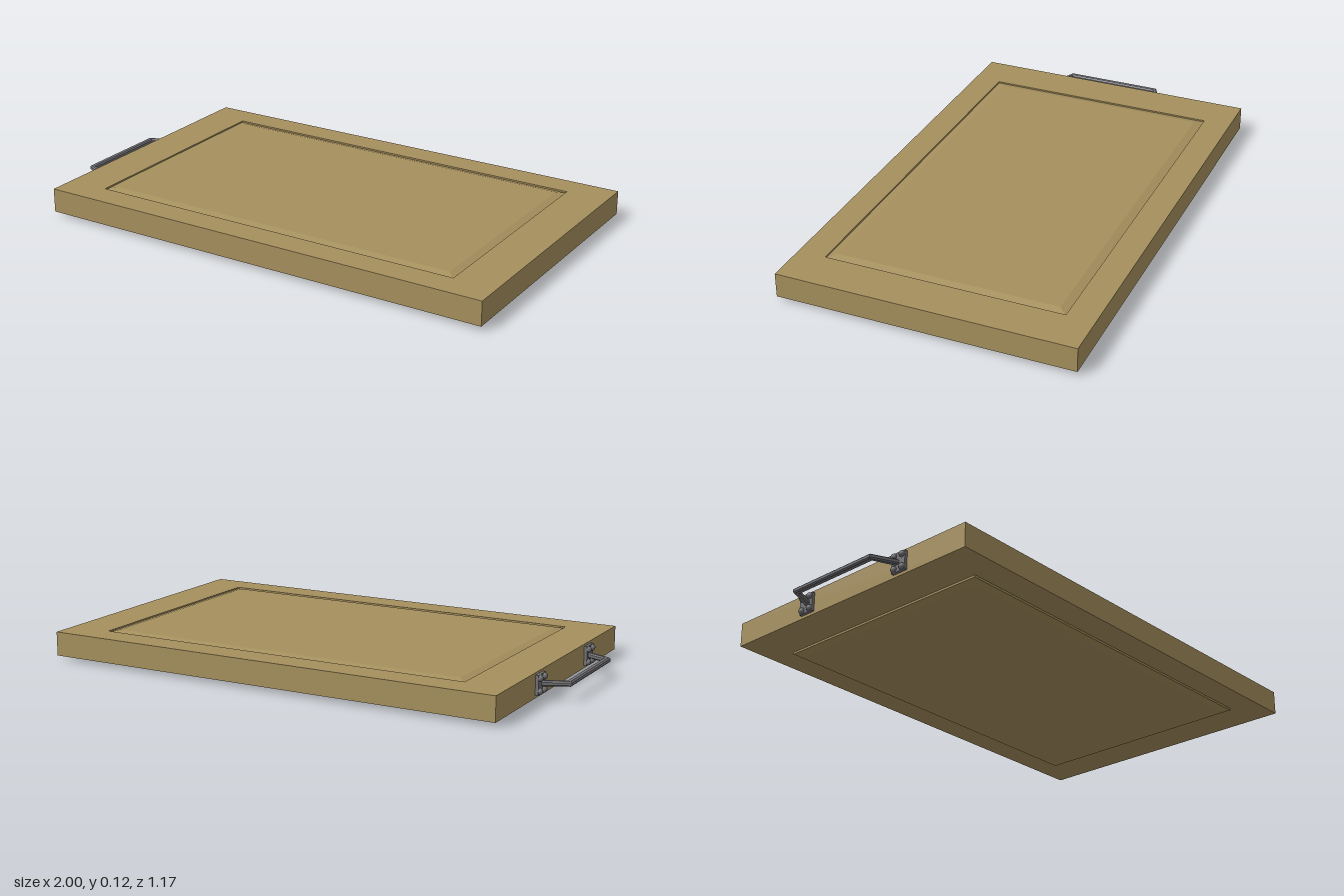
import * as THREE from 'three';

const wood = new THREE.MeshStandardMaterial({ color: 0xa58f5d });
wood.name = 'tan wood';
const metal = new THREE.MeshStandardMaterial({ color: 0x707074 });
metal.name = 'grey metal';

const CENTER_X = 0.055; // middle of the board
const MID_Y = 0.066; // middle of the board's thickness
const HANDLE_Z = 0.035;

function polygon(points, Type = THREE.Shape) {
  return new Type(points.map(([x, y]) => new THREE.Vector2(x, y)));
}

function rect(halfX, halfZ, Type) {
  return polygon([[-halfX, -halfZ], [halfX, -halfZ], [halfX, halfZ], [-halfX, halfZ]], Type);
}

// Extrudes a plan outline upwards from y = 0, with optional chamfers
function slab(shape, height, chamferHeight = 0, chamferWidth = 0) {
  const geometry = new THREE.ExtrudeGeometry(shape, {
    depth: height - 2 * chamferHeight,
    bevelEnabled: chamferHeight > 0,
    bevelThickness: chamferHeight,
    bevelSize: chamferWidth,
    bevelOffset: 0,
    bevelSegments: 1,
  });
  geometry.rotateX(-Math.PI / 2);
  geometry.translate(0, chamferHeight, 0);
  return geometry;
}

function add(parent, name, geometry, material, x, y, z) {
  const mesh = new THREE.Mesh(geometry, material);
  mesh.name = name;
  mesh.position.set(x, y, z);
  parent.add(mesh);
  return mesh;
}

export function createModel() {
  const model = new THREE.Group();
  model.name = 'panelDoor';

  // Outer frame with a rectangular opening
  const frame = rect(0.945, 0.583);
  frame.holes.push(rect(0.776, 0.472, THREE.Path));
  add(model, 'frame', slab(frame, 0.096), wood, CENTER_X, 0.017, 0);

  // Chamfered panel, slightly proud of the frame on both faces
  add(model, 'panel', slab(rect(0.743, 0.438), 0.116, 0.009, 0.033), wood, CENTER_X, 0, 0);

  // Handle: angular bar on two riveted plates
  const handle = new THREE.Group();
  handle.name = 'handle';
  handle.position.set(-0.89, MID_Y, HANDLE_Z);
  model.add(handle);

  const c = 0.005;
  const bar = polygon([
    [0, -0.25 + c], [-0.11 + c, -0.2 + c], [-0.11 + c, 0.2 - c], [0, 0.25 - c],
    [0, 0.225 + c], [-0.086 - c, 0.186 + c], [-0.086 - c, -0.186 - c], [0, -0.225 - c],
  ]);
  add(handle, 'bar', slab(bar, 0.02, c, c), metal, 0, -0.01, 0);

  const rivet = new THREE.SphereGeometry(0.013, 12, 8);
  for (const side of [-1, 1]) {
    const z = side * 0.239;
    add(handle, 'mountPlate', new THREE.BoxGeometry(0.012, 0.076, 0.066), metal, -0.006, 0, z);
    for (const dy of [-0.025, 0.025]) {
      for (const dz of [-0.02, 0.02]) {
        add(handle, 'rivet', rivet, metal, -0.012, dy, z + dz);
      }
    }
  }
  return model;
}
